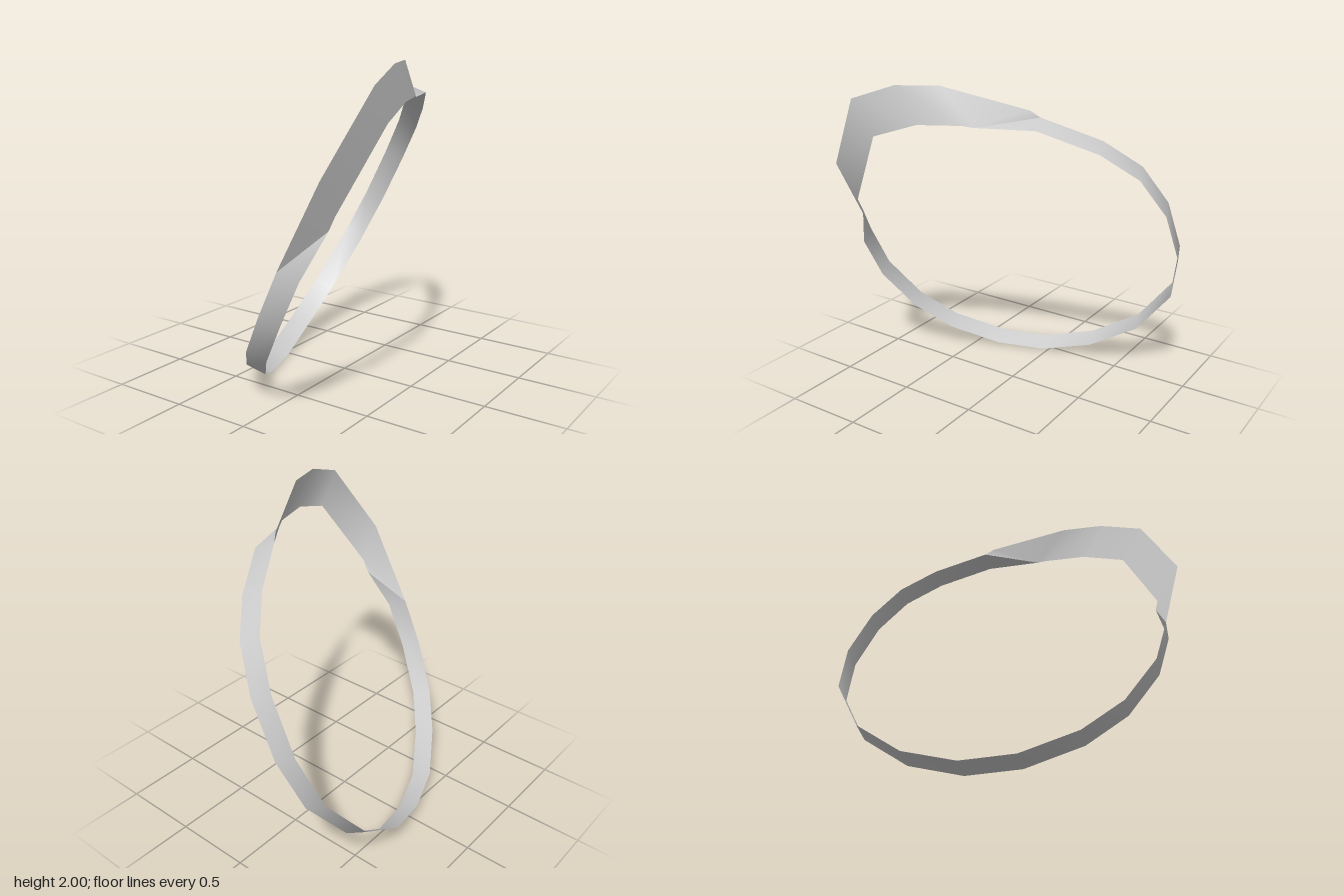
import * as THREE from 'three';
import { toCreasedNormals } from 'three/addons/utils/BufferGeometryUtils.js';

// Thin ribbon through a list of sections [rimPointA, rimPointB]
function ribbon(sections) {
  const positions = [];
  const triangle = (a, b, c) => {
    if (a !== b && b !== c && a !== c) positions.push(...a, ...b, ...c);
  };
  for (let i = 0; i < sections.length; i++) {
    const [a0, b0] = sections[i];
    const [a1, b1] = sections[(i + 1) % sections.length];
    triangle(a0, b0, b1);
    triangle(a0, b1, a1);
  }
  const geometry = new THREE.BufferGeometry();
  geometry.setAttribute('position', new THREE.Float32BufferAttribute(positions, 3));
  return toCreasedNormals(geometry, 0.6);
}

export function createModel() {
  // Plain band: one rim, from the top down the back, under and up the front
  const rim = [
    [0.235, 1.83, -0.34], [0.05, 1.7, -0.635], [-0.1, 1.545, -0.815], [-0.265, 1.305, -0.915],
    [-0.44, 0.985, -0.935], [-0.575, 0.675, -0.85], [-0.655, 0.35, -0.59], [-0.645, 0.14, -0.255],
    [-0.56, 0.05, 0.075], [-0.445, 0.065, 0.38], [-0.265, 0.19, 0.66], [-0.1, 0.37, 0.845],
    [0.095, 0.65, 0.96], [0.24, 0.93, 0.975],
  ];
  // The other rim lies one band width along the ring's axis
  const sections = rim.map(([x, y, z]) => [[x, y, z], [x + 0.115, y - 0.05, z - 0.04]]);
  const [first, last] = [sections[0], sections[sections.length - 1]];

  // Wide crest: turned to lie flatter, with folds where it meets the band
  const frontFold = [0.465, 1.15, 0.82];
  const topFold = [0.47, 1.78, -0.05];
  sections.push(
    [last[0], frontFold],
    [[0.52, 1.44, 0.97], [0.505, 1.23, 0.82]],
    [[0.65, 1.895, 0.68], [0.64, 1.69, 0.535]],
    [[0.595, 1.99, 0.4], [0.585, 1.78, 0.26]],
    [[0.51, 2.0, 0.15], [0.5, 1.79, 0.005]],
    [[0.27, 1.87, -0.29], topFold],
    [first[0], topFold],
  );

  const material = new THREE.MeshStandardMaterial({ color: 0xcccccc, side: THREE.DoubleSide });
  const band = new THREE.Mesh(ribbon(sections), material);
  band.name = 'ringBand';
  const group = new THREE.Group();
  group.name = 'tiltedRing';
  group.add(band);
  return group;
}
